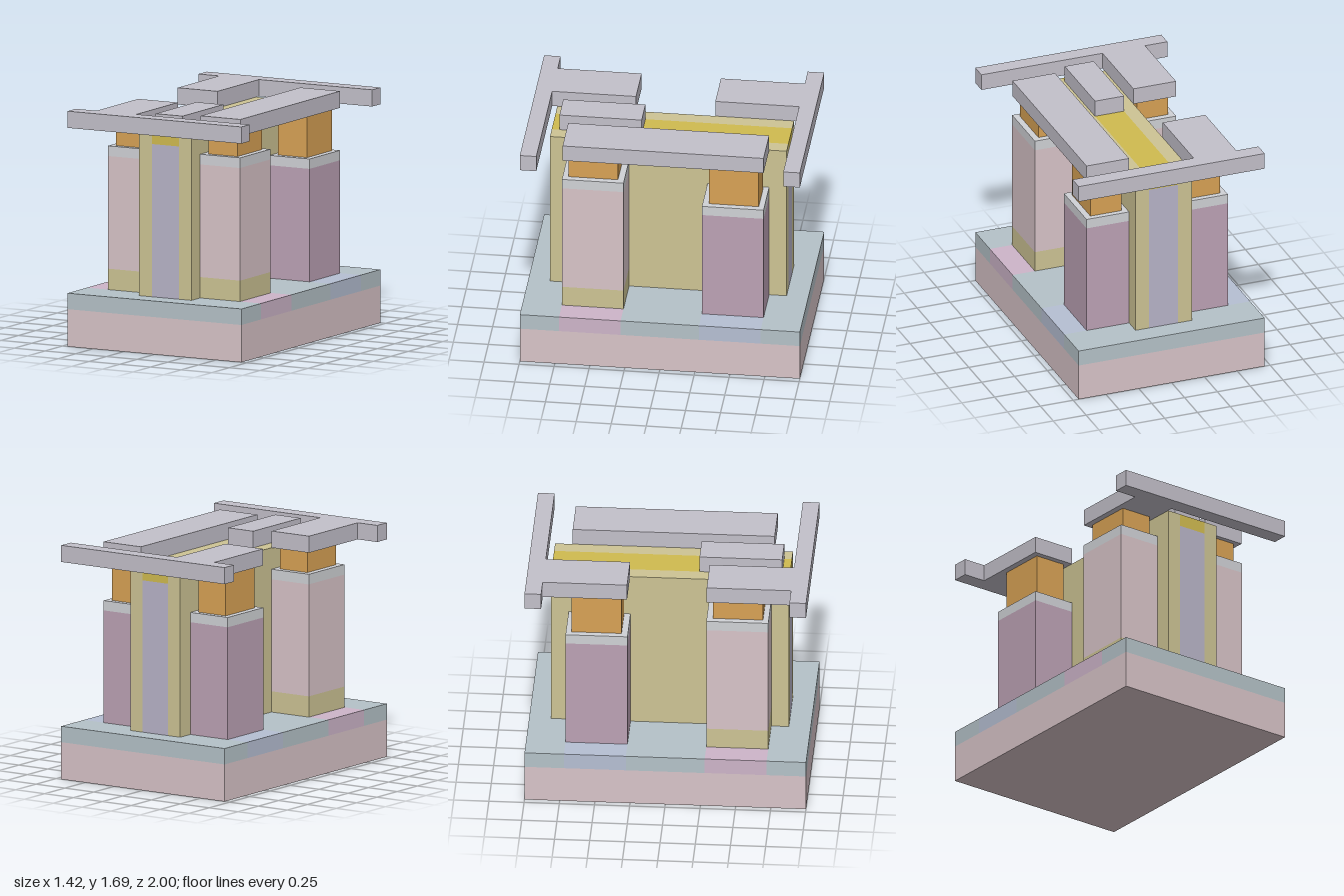
import * as THREE from 'three';

const COLORS = {
  pink: 0xd8c4c8, slate: 0xb5c2c8, rose: 0xcdb5c9, blue: 0xb6bfd3,
  khaki: 0xcdc494, lavender: 0xb8b4c8, yellow: 0xd0bb50, mauve: 0xbca2b5,
  paleGrey: 0xd0d2d6, orange: 0xd8a255, metal: 0xc3c0ca,
};

const materials = {};
for (const key in COLORS) materials[key] = new THREE.MeshStandardMaterial({ color: COLORS[key] });

// Box given by its [min, max] range on each axis
function block(parent, name, color, [x0, x1], [y0, y1], [z0, z1]) {
  const mesh = new THREE.Mesh(new THREE.BoxGeometry(x1 - x0, y1 - y0, z1 - z0), materials[color]);
  mesh.position.set((x0 + x1) / 2, (y0 + y1) / 2, (z0 + z1) / 2);
  mesh.name = name;
  parent.add(mesh);
}

function group(parent, name) {
  const g = new THREE.Group();
  g.name = name;
  parent.add(g);
  return g;
}

export function createModel() {
  const model = new THREE.Group();
  model.name = 'layeredBlockModel';

  const W = 0.708, WALL = 0.214, CORE = 0.11, OUT = 0.538;
  const FLOOR = 0.383, TOP = 1.57, ROOF = 1.69;

  // Base: thick slab and a thin layer made of strips across its depth
  const base = group(model, 'base');
  block(base, 'baseSlab', 'pink', [-W, W], [0, 0.268], [-1, 1]);
  const cuts = [-1, -0.72, -0.28, 0.28, 0.72, 1];
  ['slate', 'blue', 'slate', 'rose', 'slate'].forEach((color, i) =>
    block(base, 'baseStrip', color, [-W, W], [0.268, FLOOR], [cuts[i], cuts[i + 1]]));

  // Central wall: two outer linings around a core with a cap strip
  const wall = group(model, 'centralWall');
  const depth = [-0.845, 0.845];
  block(wall, 'wallLining', 'khaki', [-WALL, -CORE], [FLOOR, TOP], depth);
  block(wall, 'wallLining', 'khaki', [CORE, WALL], [FLOOR, TOP], depth);
  block(wall, 'wallCore', 'lavender', [-CORE, CORE], [FLOOR, 1.48], depth);
  block(wall, 'wallCap', 'yellow', [-CORE, CORE], [1.48, TOP], depth);

  // Pillars on both sides: taller in front, shorter at the back
  for (const side of [-1, 1]) {
    const span = (a, b) => (side > 0 ? [a, b] : [-b, -a]);
    const xs = span(WALL, OUT), plugX = span(0.257, 0.493);

    const front = group(model, 'frontPillar');
    block(front, 'pillarFoot', 'khaki', xs, [FLOOR, 0.533], [0.28, 0.72]);
    block(front, 'pillarBody', 'pink', xs, [0.533, 1.342], [0.28, 0.72]);
    block(front, 'pillarCap', 'paleGrey', xs, [1.342, 1.415], [0.28, 0.72]);
    block(front, 'pillarPlug', 'orange', plugX, [1.415, TOP], [0.325, 0.68]);

    const back = group(model, 'backPillar');
    block(back, 'pillarBody', 'mauve', xs, [FLOOR, 1.194], [-0.72, -0.28]);
    block(back, 'pillarCap', 'paleGrey', xs, [1.194, 1.265], [-0.72, -0.28]);
    block(back, 'pillarPlug', 'orange', plugX, [1.265, TOP], [-0.68, -0.325]);
  }

  // Top plates: a rail with a tab at each end, a long bar and a short bar
  const plates = group(model, 'topPlates');
  for (const end of [-1, 1]) {
    const outline = [[-W, 1], [-W, 0.882], [-OUT, 0.882], [-OUT, 0.283],
      [-WALL, 0.283], [-WALL, 0.882], [W, 0.882], [W, 1]];
    const shape = new THREE.Shape(outline.map(([x, z]) => new THREE.Vector2(x, -end * z)));
    const geometry = new THREE.ExtrudeGeometry(shape, { depth: ROOF - TOP, bevelEnabled: false });
    geometry.rotateX(-Math.PI / 2);
    const rail = new THREE.Mesh(geometry, materials.metal);
    rail.position.y = TOP;
    rail.name = end > 0 ? 'frontRail' : 'backRail';
    plates.add(rail);
  }
  block(plates, 'longBar', 'metal', [WALL, OUT], [TOP, ROOF], [-0.72, 0.715]);
  block(plates, 'shortBar', 'metal', [-CORE, CORE], [TOP, ROOF], [0.203, 0.79]);

  return model;
}
